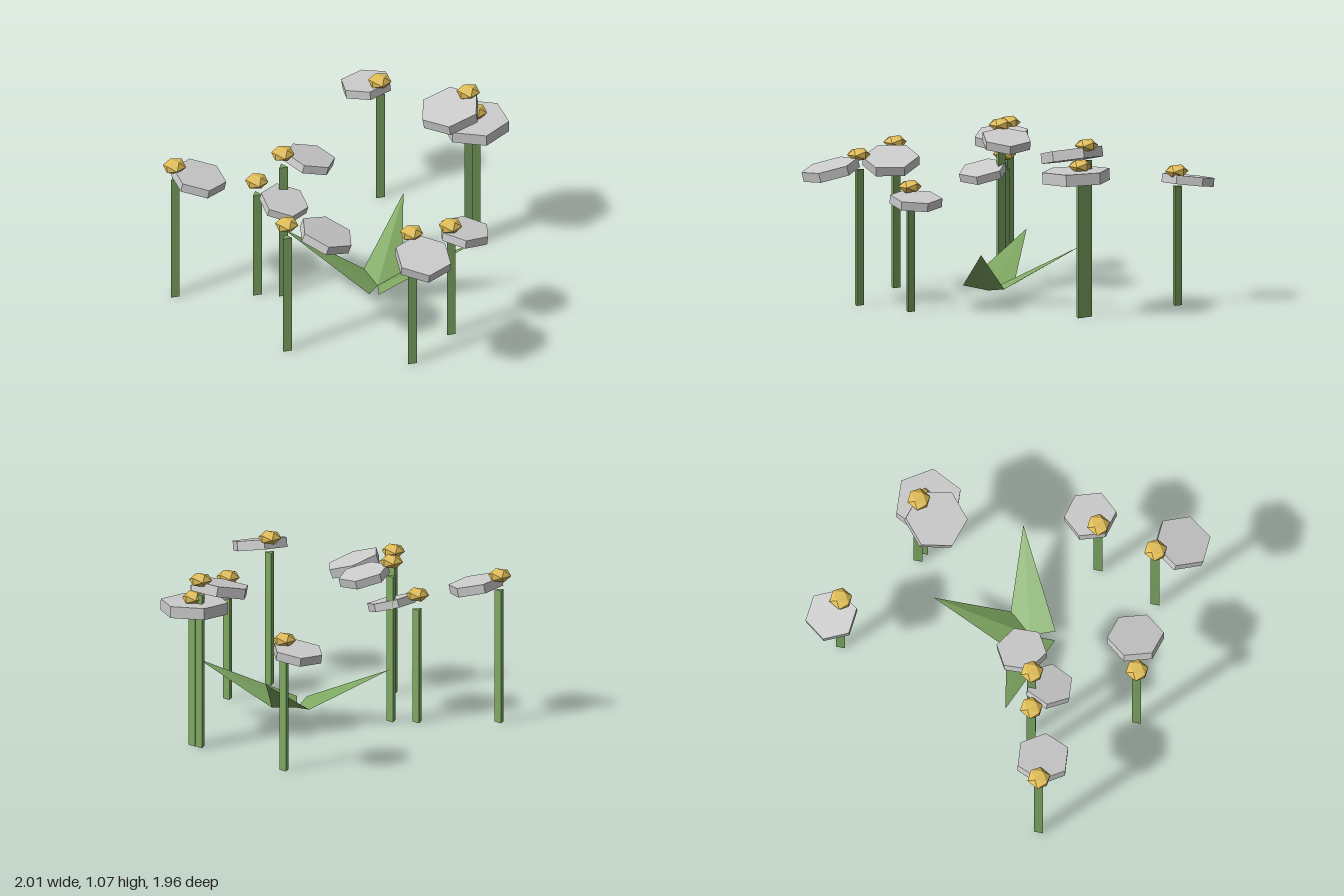
import * as THREE from 'three';

const mat = (color, side = THREE.FrontSide) =>
  new THREE.MeshStandardMaterial({ color, side, flatShading: true });

export function createModel() {
  const model = new THREE.Group();
  const petalMat = mat(0xcccccc);
  const stemMat = mat(0x7fa863);
  const leafMat = mat(0x7fa863, THREE.DoubleSide);
  const goldMat = mat(0xe0bd57);
  const UP = new THREE.Vector3(0, 1, 0);

  // stem x, z, centre height, petal disc x, y, z, radius, turn in degrees
  const flowers = [
    [-0.76, -0.78, 0.81, -0.86, 0.745, -0.767, 0.157, -7],
    [-0.04, -0.79, 1.035, -0.05, 0.96, -0.645, 0.187, -18],
    [0.015, -0.795, 0.915, 0.03, 0.853, -0.775, 0.207, 3],
    [0.62, 0.06, 0.755, 0.65, 0.68, -0.03, 0.157, -14],
    [0.68, 0.46, 0.91, 0.84, 0.825, 0.53, 0.174, -4],
    [-0.41, 0.43, 0.99, -0.33, 0.915, 0.28, 0.154, 28],
    [-0.53, 0.53, 0.79, -0.335, 0.705, 0.5, 0.147, 4],
    [-0.87, 0.885, 0.91, -0.745, 0.84, 0.807, 0.165, 5],
    [0.04, 0.87, 0.88, 0.21, 0.80, 0.71, 0.17, -13],
  ];

  for (const [x, z, y, px, py, pz, r, turn] of flowers) {
    const flower = new THREE.Group();
    flower.name = 'flower';

    // three-sided stem
    const h = y - 0.09;
    const stem = new THREE.Mesh(new THREE.CylinderGeometry(0.032, 0.032, h, 3), stemMat);
    stem.name = 'stem';
    stem.position.set(x, h / 2, z);

    // flattened gold centre
    const centre = new THREE.Mesh(new THREE.IcosahedronGeometry(0.069, 0), goldMat);
    centre.name = 'flowerCentre';
    centre.scale.set(1, 0.62, 1.08);
    centre.position.set(x, y, z);

    // six-sided petal disc, leaning the way it is shifted off the stem
    const petals = new THREE.Mesh(new THREE.CylinderGeometry(r, r, r * 0.34, 6), petalMat);
    petals.name = 'petals';
    petals.position.set(px, py, pz);
    const normal = new THREE.Vector3((px - x) * 1.45, 1, (pz - z) * 1.45).normalize();
    petals.quaternion.setFromUnitVectors(UP, normal);
    petals.rotateY(THREE.MathUtils.degToRad(turn));

    flower.add(stem, centre, petals);
    model.add(flower);
  }

  // pointed leaves: two triangles folded along the midrib
  const root = [0.01, 0.07, 0.05];
  const leaves = [
    { tip: [-0.27, 0.37, -0.47], left: [-0.15, 0.1, 0], right: [0.04, 0.1, -0.13] },
    { tip: [0.43, 0.37, -0.37], left: [0.04, 0.1, -0.13], right: [0.12, 0.1, 0.155] },
    { tip: [-0.52, 0.365, 0.315], left: [0.075, 0.1, 0.19], right: [-0.15, 0.1, 0] },
  ];
  for (const { tip, left, right } of leaves) {
    const geo = new THREE.BufferGeometry();
    geo.setAttribute('position', new THREE.Float32BufferAttribute(
      [...root, ...tip, ...left, ...root, ...right, ...tip], 3));
    geo.computeVertexNormals();
    const leaf = new THREE.Mesh(geo, leafMat);
    leaf.name = 'leaf';
    model.add(leaf);
  }

  return model;
}
